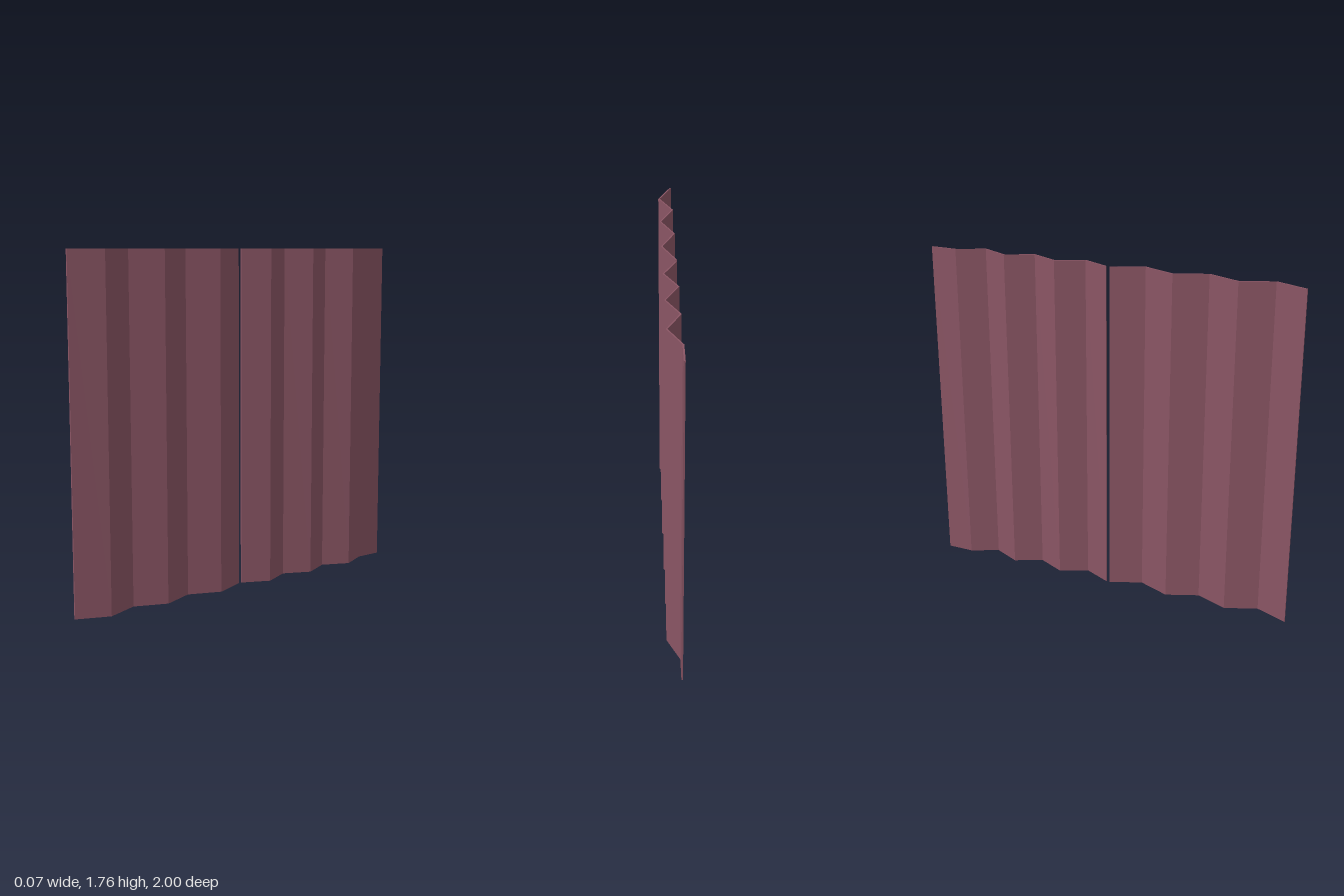
import * as THREE from 'three';

const HEIGHT = 1.765, FOLD = 0.033, HALF_THICK = 0.004;

// One run of folded panels between two z positions; the last panel may lie flat.
function foldedScreen(name, zStart, zEnd, panels, flatEnd, material) {
  const line = [];
  for (let i = 0; i <= panels; i++) {
    const outward = i % 2 === 1 && !(flatEnd && i === panels);
    line.push([outward ? FOLD : -FOLD, zStart + (zEnd - zStart) * i / panels]);
  }
  // Outline: along one face, back along the other
  const front = line.map(([x, z]) => new THREE.Vector2(x + HALF_THICK, -z));
  const back = line.map(([x, z]) => new THREE.Vector2(x - HALF_THICK, -z)).reverse();
  const geometry = new THREE.ExtrudeGeometry(new THREE.Shape([...front, ...back]),
    { depth: HEIGHT, bevelEnabled: false });
  geometry.rotateX(-Math.PI / 2);
  const mesh = new THREE.Mesh(geometry, material);
  mesh.name = name;
  return mesh;
}

export function createModel() {
  const model = new THREE.Group();
  model.name = 'foldingScreen';
  const material = new THREE.MeshStandardMaterial({ color: 0x8a5564 });
  model.add(
    foldedScreen('frontFoldedPanels', 1, 0.013, 6, false, material),
    foldedScreen('backFoldedPanels', -0.005, -1, 7, true, material),
  );
  return model;
}
